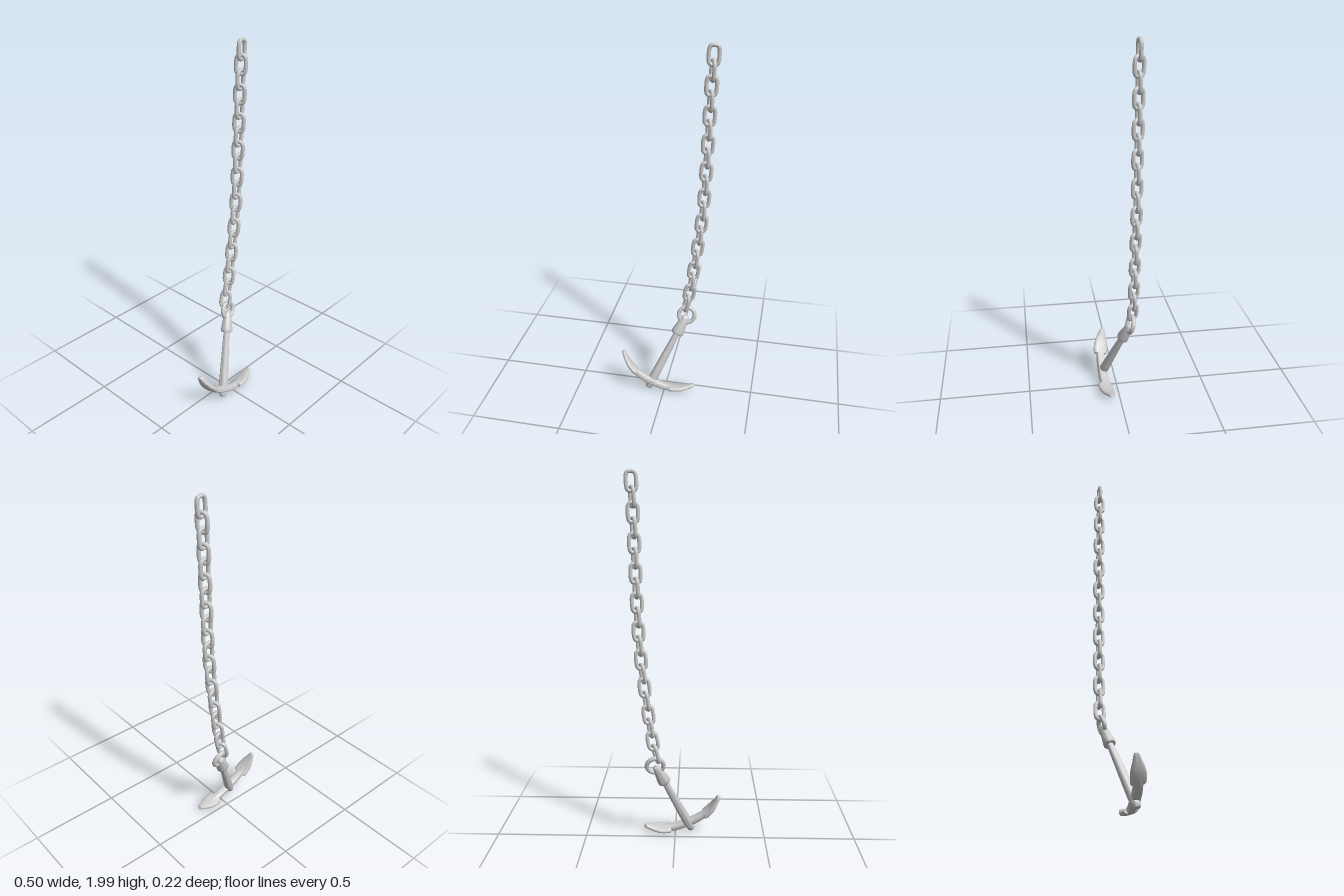
import * as THREE from 'three';
import { toCreasedNormals } from 'three/addons/utils/BufferGeometryUtils.js';

const metal = new THREE.MeshStandardMaterial({ color: 0xcccccc });

function part(name, geometry, parent) {
  const mesh = new THREE.Mesh(geometry, metal);
  mesh.name = name;
  parent.add(mesh);
  return mesh;
}

// Height of the curved arms at distance s from the shank
const armHeight = s => 0.03 + 0.092 * Math.pow(Math.abs(s) / 0.228, 2.7);

// Sweeps a rounded section along the arm curve.
// Stations are [distance, half width, half thickness]; boxy < 1 squares the section.
function loft(stations, boxy, sides = 20) {
  const pos = [], index = [];
  const power = v => Math.sign(v) * Math.pow(Math.abs(v), boxy);
  for (const [s, w, h] of stations) {
    const slope = (armHeight(s + 1e-4) - armHeight(s - 1e-4)) / 2e-4;
    const len = Math.hypot(1, slope);
    for (let j = 0; j < sides; j++) {
      const t = j / sides * Math.PI * 2;
      const up = h * power(Math.sin(t));
      pos.push(s - up * slope / len, armHeight(s) + up / len, w * power(Math.cos(t)));
    }
  }
  const last = stations.length - 1;
  for (let i = 0; i < last; i++) {
    for (let j = 0; j < sides; j++) {
      const k = (j + 1) % sides, a = i * sides, b = a + sides;
      index.push(a + j, b + j, b + k, a + j, b + k, a + k);
    }
  }
  // End caps
  for (let j = 1; j < sides - 1; j++) {
    const e = last * sides;
    index.push(0, j, j + 1, e, e + j + 1, e + j);
  }
  const geo = new THREE.BufferGeometry();
  geo.setAttribute('position', new THREE.Float32BufferAttribute(pos, 3));
  geo.setIndex(index);
  return toCreasedNormals(geo, 0.7);
}

function turned(points) {
  const profile = points.map(p => new THREE.Vector2(...p));
  return toCreasedNormals(new THREE.LatheGeometry(profile, 24), 0.7);
}

function createAnchor() {
  const anchor = new THREE.Group();
  anchor.name = 'anchor';

  // Tapered shank with a small crown nub below the arms
  part('shank', turned([[0, -0.019], [0.015, -0.018], [0.02, -0.011], [0.022, 0.01],
    [0.026, 0.04], [0.025, 0.1], [0.0165, 0.38]]), anchor);
  const collar = part('collar', turned([[0.016, 0.358], [0.032, 0.358], [0.036, 0.364],
    [0.035, 0.38], [0.022, 0.462], [0.018, 0.474], [0.012, 0.48], [0, 0.482]]), anchor);
  collar.scale.z = 0.88;

  // Arms and flukes, set slightly forward of the shank axis
  const hook = new THREE.Group();
  hook.name = 'hook';
  hook.position.z = 0.008;
  anchor.add(hook);

  // Curved arms in one piece
  const arm = [];
  for (let i = 0; i <= 28; i++) {
    const s = -0.215 + 0.43 * i / 28, f = Math.abs(s) / 0.215;
    arm.push([s, 0.024 - 0.014 * f * f * f, 0.02 - 0.01 * f * f]);
  }
  part('arms', loft(arm, 0.6), hook);

  // Broad flukes with square shoulders and blunt tips
  const outline = new THREE.SplineCurve([[0, 0.035], [0.08, 0.041], [0.4, 0.041], [0.62, 0.034],
    [0.82, 0.022], [0.95, 0.015], [1, 0.007]].map(p => new THREE.Vector2(...p)));
  for (const side of [1, -1]) {
    const fluke = [];
    for (let i = 0; i <= 24; i++) {
      const p = outline.getPoint(i / 24);
      fluke.push([0.103 + 0.125 * p.x, p.y, 0.016 - 0.006 * p.x * p.x]);
    }
    const mesh = part(side > 0 ? 'leftFluke' : 'rightFluke', loft(fluke, 0.8), hook);
    mesh.rotation.y = side > 0 ? 0 : Math.PI;
  }

  // Ring through the top of the shank
  part('shackleRing', new THREE.TorusGeometry(0.045, 0.012, 12, 40), anchor).position.y = 0.485;

  // Lean the whole anchor
  const up = new THREE.Vector3(0.19, 0.425, -0.137).normalize();
  const across = new THREE.Vector3(up.y, -up.x, 0).normalize();
  const front = new THREE.Vector3().crossVectors(across, up);
  anchor.quaternion.setFromRotationMatrix(new THREE.Matrix4().makeBasis(across, up, front));
  anchor.position.set(-0.085, 0.035, 0.075);
  return anchor;
}

function createChain() {
  const chain = new THREE.Group();
  chain.name = 'chain';

  // Oblong link with rounded corners
  const outline = [];
  for (let i = 0; i < 24; i++) {
    const t = i / 24 * Math.PI * 2, c = Math.cos(t), s = Math.sin(t);
    outline.push(new THREE.Vector3(0.0255 * Math.sign(c) * Math.abs(c) ** 0.6,
      0.047 * Math.sign(s) * Math.abs(s) ** 0.6, 0));
  }
  const path = new THREE.CatmullRomCurve3(outline, true);
  const linkGeometry = new THREE.TubeGeometry(path, 48, 0.0105, 10, true);

  // Hanging line, bottom to top
  const line = new THREE.CatmullRomCurve3([[0.1, 0.532], [0.117, 0.606], [0.138, 0.755],
    [0.157, 0.9], [0.174, 1.05], [0.185, 1.2], [0.196, 1.495], [0.205, 1.795],
    [0.212, 1.943]].map(([x, y]) => new THREE.Vector3(x, y, -0.075)));
  for (let i = 0; i < 20; i++) {
    const p = line.getPointAt(i / 19), d = line.getTangentAt(i / 19);
    const link = part('chainLink', linkGeometry, chain);
    link.position.copy(p);
    // Alternate links turn across the line, a little past a quarter
    link.rotation.set(0, i % 2 ? 0.12 : Math.PI / 2 + 0.42, -Math.atan2(d.x, d.y), 'ZYX');
  }
  return chain;
}

export function createModel() {
  const model = new THREE.Group();
  model.name = 'anchorOnChain';
  model.add(createAnchor(), createChain());
  return model;
}
